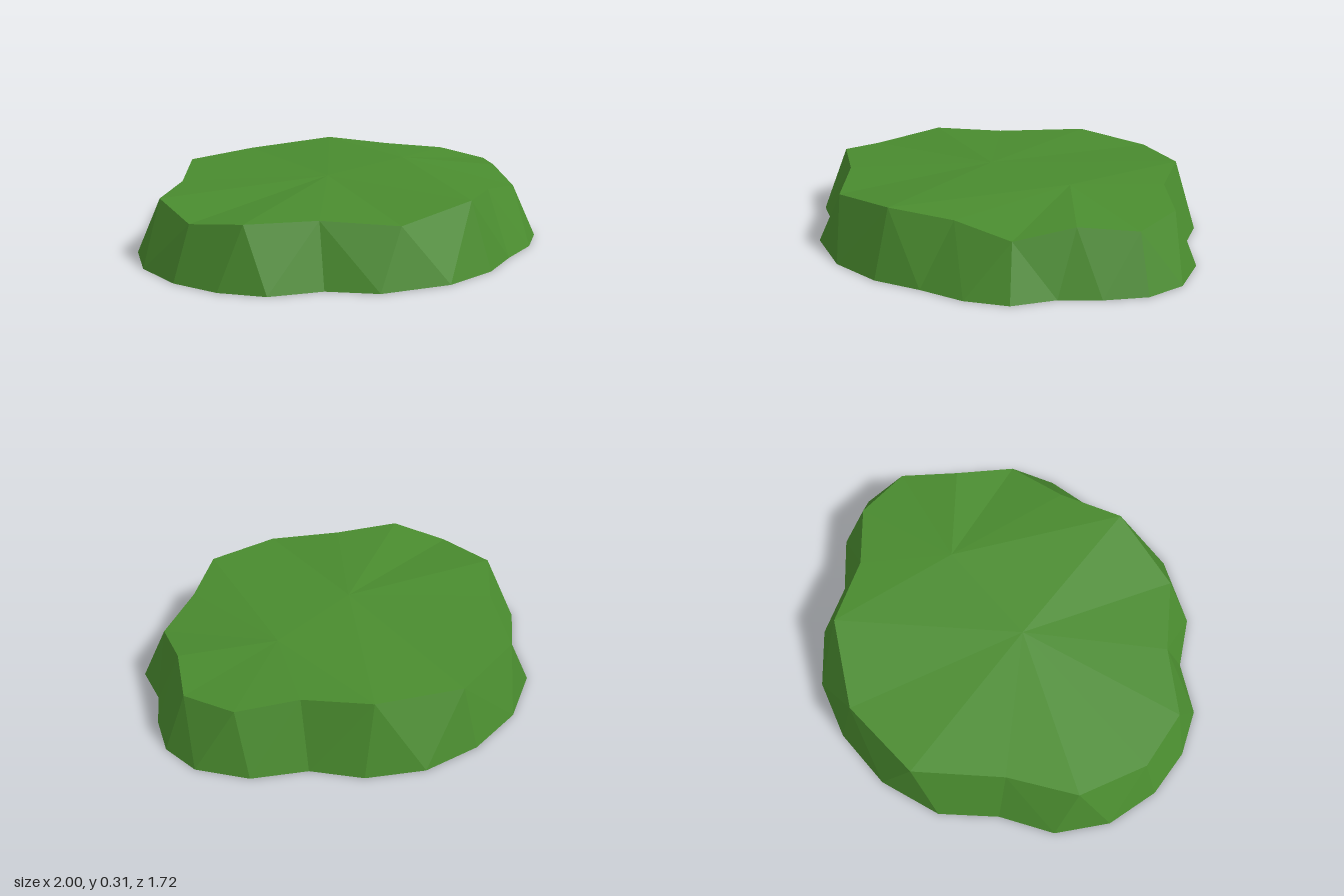
import * as THREE from 'three';

// Ground outline [x, z], from the back round by +x
const BASE = [
  [-0.15, -0.86], [0.14, -0.86], [0.40, -0.78], [0.60, -0.61], [0.71, -0.40], [0.90, -0.24],
  [1.00, -0.02], [0.98, 0.17], [0.87, 0.33], [0.74, 0.46], [0.65, 0.64], [0.48, 0.74],
  [0.27, 0.79], [0.06, 0.86], [-0.20, 0.86], [-0.49, 0.74], [-0.63, 0.56], [-0.84, 0.45],
  [-0.95, 0.27], [-1.00, 0.05], [-0.97, -0.20], [-0.84, -0.42], [-0.62, -0.56], [-0.43, -0.76],
].map(([x, z]) => new THREE.Vector3(x, 0, z));

// Upper rim [x, y, z], same direction
const RIM = [
  [-0.26, 0.28, -0.76], [0.14, 0.275, -0.78], [0.50, 0.31, -0.58], [0.65, 0.295, -0.31],
  [0.86, 0.27, -0.13], [0.89, 0.25, 0.13], [0.72, 0.275, 0.33], [0.58, 0.235, 0.56],
  [0.31, 0.275, 0.63], [0.04, 0.295, 0.76], [-0.35, 0.25, 0.72], [-0.58, 0.27, 0.48],
  [-0.84, 0.27, 0.31], [-0.91, 0.235, 0.05], [-0.82, 0.27, -0.27], [-0.55, 0.27, -0.46],
].map((p) => new THREE.Vector3(...p));

// Two low crests; the rim between these indices fans to the right-hand one
const CREST_A = new THREE.Vector3(-0.10, 0.305, 0.03);
const CREST_B = new THREE.Vector3(0.40, 0.313, 0.03);
const BACK = 2, FRONT = 9;

function facetMesh(name, points, material) {
  const geometry = new THREE.BufferGeometry().setFromPoints(points);
  geometry.computeVertexNormals();
  const mesh = new THREE.Mesh(geometry, material);
  mesh.name = name;
  return mesh;
}

// Gently domed top
function topPoints() {
  const points = [];
  RIM.forEach((p, i) => {
    const crest = i >= BACK && i < FRONT ? CREST_B : CREST_A;
    points.push(crest, RIM[(i + 1) % RIM.length], p);
  });
  points.push(CREST_A, CREST_B, RIM[BACK]);
  points.push(CREST_B, CREST_A, RIM[FRONT]);
  return points;
}

// Sloping wall: joins the two outlines, always along the shorter diagonal
function wallPoints() {
  const points = [];
  const nb = BASE.length, nr = RIM.length;
  let i = 0, j = 0;
  while (i < nb || j < nr) {
    const b = BASE[i % nb], r = RIM[j % nr];
    const bNext = BASE[(i + 1) % nb], rNext = RIM[(j + 1) % nr];
    const stepBase = j >= nr || (i < nb && bNext.distanceTo(r) < rNext.distanceTo(b));
    points.push(b, r, stepBase ? bNext : rNext);
    if (stepBase) i++;
    else j++;
  }
  return points;
}

export function createModel() {
  const green = new THREE.MeshStandardMaterial({ color: 0x4a8c2f });
  green.name = 'leaf green';
  green.flatShading = true;
  green.side = THREE.DoubleSide; // open underneath

  const group = new THREE.Group();
  group.name = 'grassMound';
  group.add(facetMesh('moundTop', topPoints(), green));
  group.add(facetMesh('moundSide', wallPoints(), green));
  return group;
}
